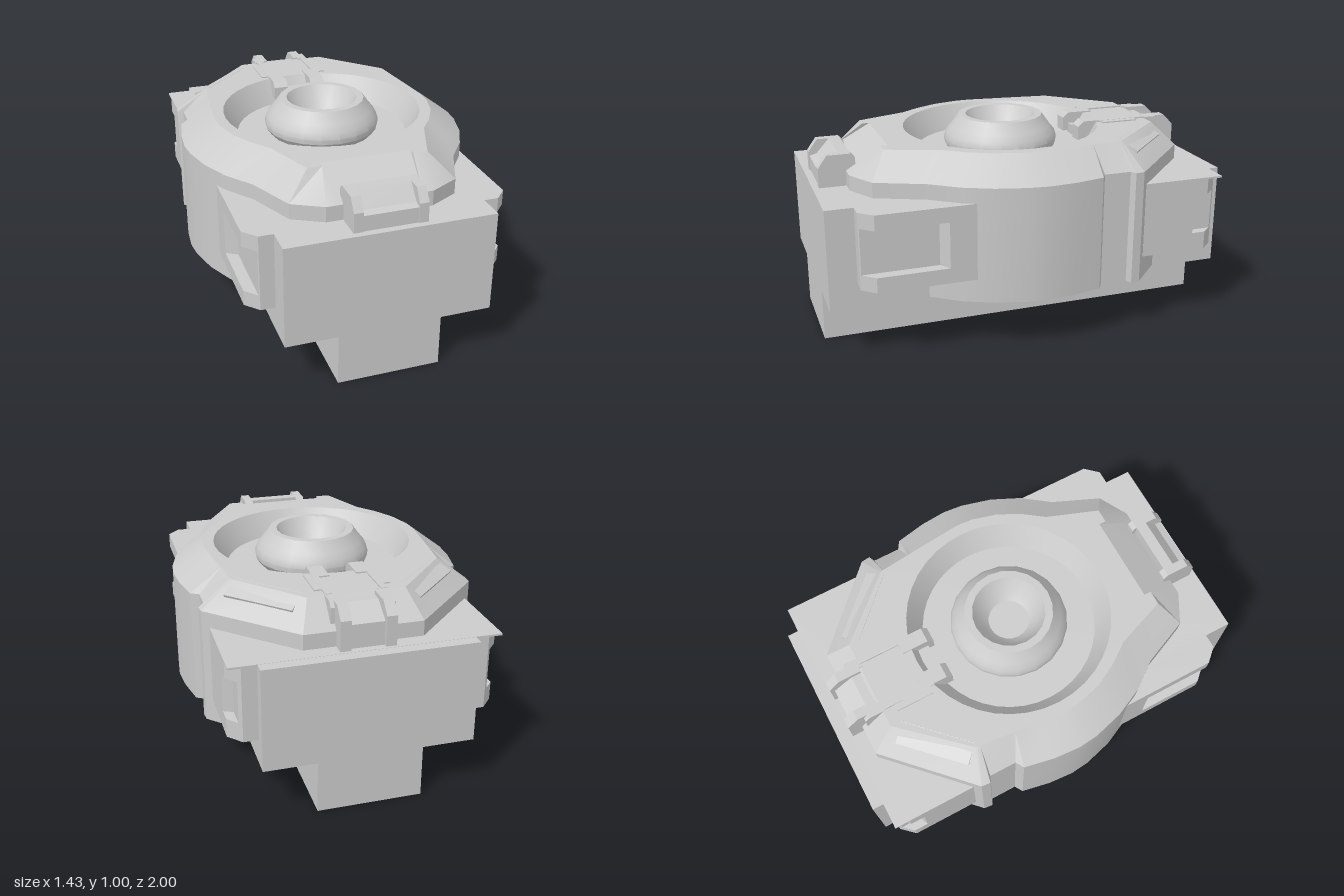
import * as THREE from 'three';
import { toCreasedNormals } from 'three/addons/utils/BufferGeometryUtils.js';

const mat = new THREE.MeshStandardMaterial({ color: 0xcccccc });

export function createModel() {
  const model = new THREE.Group();

  const add = (name, geo, crease = 0.5) => {
    const mesh = new THREE.Mesh(toCreasedNormals(geo, crease), mat);
    mesh.name = name;
    model.add(mesh);
    return mesh;
  };
  // Box given by its limits on each axis
  const box = (name, x0, x1, y0, y1, z0, z1) =>
    add(name, new THREE.BoxGeometry(x1 - x0, y1 - y0, z1 - z0)
      .translate((x0 + x1) / 2, (y0 + y1) / 2, (z0 + z1) / 2));
  const shapeOf = (pts) => new THREE.Shape(pts.map(([a, b]) => new THREE.Vector2(a, b)));
  // Plan outline (x, z) raised from y0 to y1
  const prismY = (name, pts, y0, y1) =>
    add(name, new THREE.ExtrudeGeometry(shapeOf(pts.map(([x, z]) => [x, -z])), { depth: y1 - y0, bevelEnabled: false })
      .rotateX(-Math.PI / 2).translate(0, y0, 0));
  // Side outline (z, y) extended from x0 to x1
  const prismX = (name, pts, x0, x1) =>
    add(name, new THREE.ExtrudeGeometry(shapeOf(pts.map(([z, y]) => [-z, y])), { depth: x1 - x0, bevelEnabled: false })
      .rotateY(Math.PI / 2).translate(x0, 0, 0));

  // Stepped base
  box('baseRail', -0.25, 0.25, 0, 0.256, -1, 1);
  box('baseBlock', -0.5, 0.5, 0.255, 0.755, -1, 1);

  // Housing: [outer x, outer z, upper x, upper z] for one half, front to back
  const half = [
    [0.2, 0.837, 0.22, 0.64], [0.255, 0.837, 0.22, 0.675], [0.4, 0.758, 0.29, 0.675],
    [0.5, 0.525, 0.385, 0.42], [0.6, 0.39, 0.455, 0.325], [0.665, 0.25, 0.515, 0.21],
    [0.705, 0.1, 0.55, 0.08], [0.715, 0, 0.555, 0], [0.705, -0.13, 0.545, -0.1],
    [0.675, -0.28, 0.53, -0.25], [0.635, -0.305, 0.525, -0.29], [0.635, -0.44, 0.51, -0.425],
    [0.665, -0.455, 0.51, -0.435], [0.66, -0.5, 0.505, -0.45], [0.28, -0.87, 0.23, -0.75],
  ];
  const loop = [...half, ...half.map(([a, b, c, d]) => [-a, b, -c, d]).reverse()];
  const rings = [
    loop.map(([x, z]) => [x, 0.265, z]),
    loop.map(([x, z]) => [x, 0.83, z]),
    loop.map(([, , x, z]) => [x, 0.95, z]),
  ];
  const pos = [];
  for (let r = 0; r < 2; r++) {
    for (let i = 0; i < loop.length; i++) {
      const j = (i + 1) % loop.length;
      const [a, b, c, d] = [rings[r][i], rings[r][j], rings[r + 1][j], rings[r + 1][i]];
      pos.push(...a, ...b, ...c, ...a, ...c, ...d);
    }
  }
  const wall = new THREE.BufferGeometry();
  wall.setAttribute('position', new THREE.Float32BufferAttribute(pos, 3));
  add('housingWall', wall, 0.35);

  const deck = shapeOf(loop.map(([, , x, z]) => [x, -z]));
  deck.holes.push(new THREE.Path().absarc(0, 0, 0.5, 0, Math.PI * 2, true));
  add('housingDeck', new THREE.ShapeGeometry(deck, 20).rotateX(-Math.PI / 2).translate(0, 0.95, 0));
  add('housingUnderside', new THREE.ShapeGeometry(shapeOf(loop.map(([x, z]) => [x, z])))
    .rotateX(Math.PI / 2).translate(0, 0.265, 0));

  // Sunken well and the hollow knob in its middle
  const lathe = (name, pts, sides) =>
    add(name, new THREE.LatheGeometry(pts.map(([x, y]) => new THREE.Vector2(x, y)), sides));
  lathe('well', [[0.5, 0.95], [0.43, 0.83], [0.2, 0.83]], 40);
  lathe('knob', [[0.265, 0.83], [0.287, 0.86], [0.29, 0.885], [0.28, 0.92], [0.255, 0.95],
    [0.215, 1.005], [0.178, 1.005], [0.135, 0.93], [0.1, 0.895], [0, 0.895]], 20);

  // Side pods: full outline above and below, cut outline at the recess
  const pod = (name, full, cut, y0, y1) => {
    for (const s of [1, -1]) {
      const flip = (pts) => pts.map(([x, z]) => [s * x, z]);
      prismY(name + 'Bottom', flip(full), 0.38, y0);
      prismY(name + 'Recess', flip(cut), y0, y1);
      prismY(name + 'Top', flip(full), y1, 0.755);
    }
  };
  pod('frontPod',
    [[0.45, 0.3], [0.63, 0.3], [0.63, 0.8], [0.57, 0.865], [0.45, 0.865]],
    [[0.45, 0.3], [0.63, 0.3], [0.63, 0.455], [0.575, 0.49], [0.575, 0.86], [0.57, 0.865], [0.45, 0.865]],
    0.455, 0.68);
  pod('rearPod',
    [[0.45, -0.45], [0.63, -0.53], [0.63, -0.87], [0.57, -0.935], [0.45, -0.935]],
    [[0.45, -0.45], [0.63, -0.53], [0.63, -0.8], [0.585, -0.82], [0.585, -0.92], [0.57, -0.935], [0.45, -0.935]],
    0.47, 0.67);
  box('rearTopPlate', -0.63, 0.63, 0.747, 0.756, -0.945, -0.5);

  // Raised panels on the diagonal rear slopes
  for (const s of [1, -1]) {
    const panel = add('slopePanel', new THREE.BoxGeometry(0.36, 0.06, 0.11));
    panel.rotation.set(-0.45, s * -Math.PI / 4, 0, 'YXZ');
    panel.position.set(s * 0.385, 0.9, -0.595);
  }

  // Front latch: two cheeks, rear bar and a sloped window between them
  for (const s of [1, -1]) {
    const x = s > 0 ? 0.13 : -0.175;
    prismX('frontLatchCheek', [[0.79, 0.755], [0.97, 0.755], [0.97, 0.85], [0.925, 0.912], [0.81, 0.912], [0.79, 0.89]], x, x + 0.045);
  }
  prismX('frontLatchWindow', [[0.81, 0.755], [0.965, 0.755], [0.965, 0.83], [0.93, 0.84], [0.865, 0.912], [0.81, 0.912]], -0.13, 0.13);

  // Rear latch: stepped body, rails, tabs over the well and end posts
  prismX('rearLatchBody', [[-0.5, 0.8], [-0.5, 0.935], [-0.81, 0.935], [-0.85, 0.91], [-0.91, 0.87], [-0.91, 0.755], [-0.7, 0.755]], -0.085, 0.085);
  box('rearLatchBridge', -0.08, 0.08, 0.85, 0.9, -0.5, -0.41);
  for (const s of [1, -1]) {
    const span = (name, a, b, pts) => prismX(name, pts, Math.min(s * a, s * b), Math.max(s * a, s * b));
    span('rearLatchPost', 0.08, 0.13, [[-0.76, 0.755], [-0.93, 0.755], [-0.93, 0.9], [-0.875, 0.955], [-0.76, 0.955]]);
    span('rearLatchWing', 0.1, 0.15, [[-0.74, 0.755], [-0.845, 0.755], [-0.845, 0.93], [-0.82, 0.955], [-0.74, 0.955]]);
    span('rearLatchRail', 0.115, 0.145, [[-0.48, 0.85], [-0.75, 0.8], [-0.75, 0.957], [-0.48, 0.957]]);
    span('rearLatchTab', 0.065, 0.14, [[-0.38, 0.86], [-0.38, 0.93], [-0.41, 0.957], [-0.54, 0.957], [-0.54, 0.86]]);
    span('rearLatchStep', 0.145, 0.18, [[-0.5, 0.85], [-0.5, 0.956], [-0.69, 0.956], [-0.69, 0.85]]);
  }
  return model;
}
